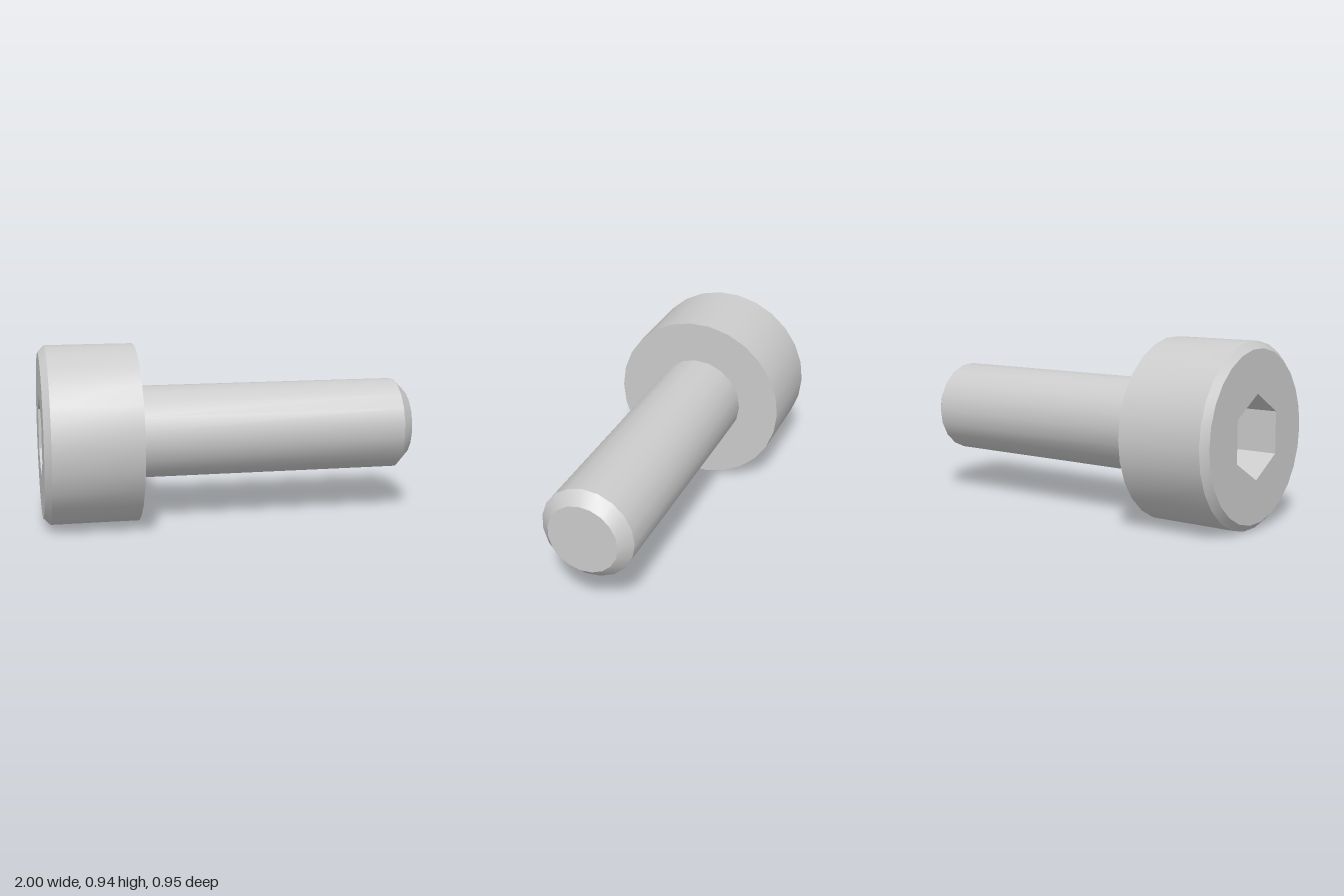
import * as THREE from 'three';
import { toCreasedNormals } from 'three/addons/utils/BufferGeometryUtils.js';

const HEAD_SIDES = 26, SHANK_SIDES = 19;
const HEAD_R = 0.475, FACE_R = 0.44, SHANK_R = 0.248, TIP_R = 0.187, HEX_R = 0.2165;
const material = new THREE.MeshStandardMaterial({ color: 0xcccccc });

// Revolve [radius, x] pairs around the x axis, keeping chamfers crisp
function turned(name, profile, sides, phase) {
  const points = profile.map(([r, x]) => new THREE.Vector2(r, x));
  const geometry = new THREE.LatheGeometry(points, sides, phase);
  geometry.rotateZ(-Math.PI / 2);
  const mesh = new THREE.Mesh(toCreasedNormals(geometry, 0.5), material);
  mesh.name = name;
  return mesh;
}

function polygon(radius, sides, phase = 0) {
  return Array.from({ length: sides }, (_, i) => {
    const a = phase + (i / sides) * Math.PI * 2;
    return new THREE.Vector2(radius * Math.cos(a), radius * Math.sin(a));
  });
}

export function createModel() {
  const group = new THREE.Group();
  group.name = 'socketHeadScrew';

  // Head: chamfered rim, side and underside
  group.add(turned('head', [[FACE_R, -1], [HEAD_R, -0.965], [HEAD_R, -0.5], [0, -0.5]], HEAD_SIDES, 0));

  // Flat head face with the hexagonal opening
  const face = new THREE.Shape(polygon(FACE_R, HEAD_SIDES));
  face.holes.push(new THREE.Path(polygon(HEX_R, 6, Math.PI / 2)));
  const headFace = new THREE.Mesh(new THREE.ShapeGeometry(face), material);
  headFace.name = 'headFace';
  headFace.rotation.y = -Math.PI / 2;
  headFace.position.x = -1;
  group.add(headFace);

  // Socket walls and floor, facing inwards
  group.add(turned('hexSocket', [[0, -0.75], [HEX_R, -0.75], [HEX_R, -1]], 6, Math.PI / 2));

  // Shank with chamfered tip
  group.add(turned('shank', [[SHANK_R, -0.5], [SHANK_R, 0.939], [TIP_R, 1], [0, 1]], SHANK_SIDES, Math.PI));

  // Rest the head's lowest flat on the ground
  for (const part of group.children) part.position.y = HEAD_R * Math.cos(Math.PI / HEAD_SIDES);
  return group;
}
